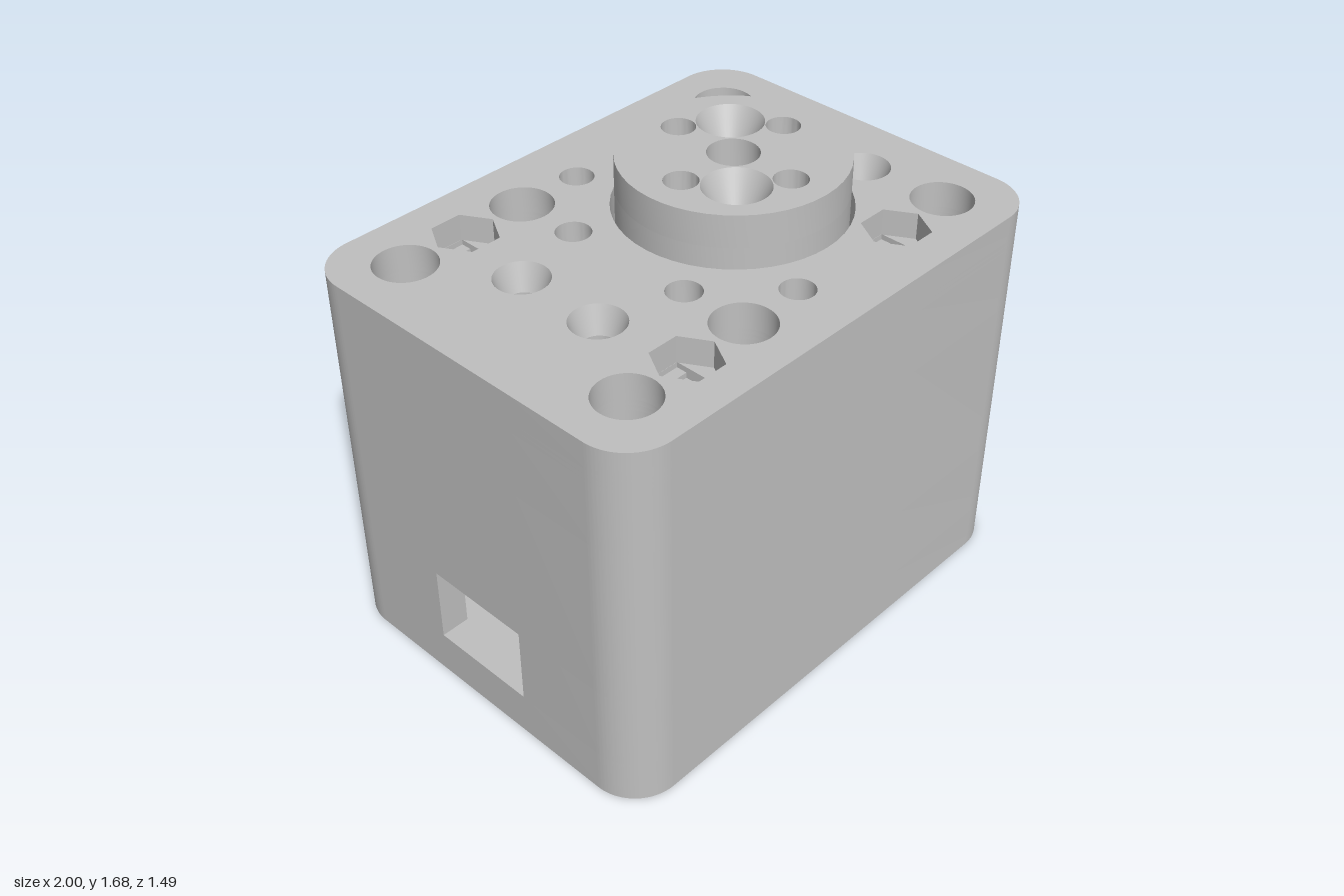
import * as THREE from 'three';
import { toCreasedNormals } from 'three/addons/utils/BufferGeometryUtils.js';

const W = 1, D = 0.745, R = 0.18;          // half width, half depth, corner radius
const DISC_X = 0.25;

// Closed paths in plan; shape y is -z
const circle = (x, z, r) => new THREE.Path().absarc(x, -z, r, 0, Math.PI * 2, true);
const polygon = pts => new THREE.Path(pts.map(([x, z]) => new THREE.Vector2(x, -z)));
const rect = (x, z, a, b) => polygon([[x - a, z - b], [x + a, z - b], [x + a, z + b], [x - a, z + b]]);
const hexagon = (x, z, r) => polygon(Array.from({ length: 6 }, (_, i) =>
  [x + r * Math.cos(i * Math.PI / 3), z + r * Math.sin(i * Math.PI / 3)]));

// Rounded plan outline, with an optional cable slot that widens behind the left wall
function outline(slot) {
  const s = new THREE.Shape();
  s.absarc(W - R, D - R, R, 0, Math.PI / 2);
  s.absarc(-W + R, D - R, R, Math.PI / 2, Math.PI);
  if (slot) {
    for (const [x, y] of [[-1, 0.21], [-0.89, 0.21], [-0.89, 0.33], [-0.4, 0.33],
      [-0.4, -0.33], [-0.89, -0.33], [-0.89, -0.21], [-1, -0.21]]) s.lineTo(x, y);
  }
  s.absarc(-W + R, -D + R, R, Math.PI, Math.PI * 1.5);
  s.absarc(W - R, -D + R, R, Math.PI * 1.5, Math.PI * 2);
  s.closePath();
  return s;
}

export function createModel() {
  const model = new THREE.Group();
  const grey = new THREE.MeshStandardMaterial({ color: 0xc0c0c0 });
  grey.name = 'grey plastic';

  const add = (name, geometry, parent) => {
    const mesh = new THREE.Mesh(geometry, grey);
    mesh.name = name;
    parent.add(mesh);
    return mesh;
  };
  // One horizontal slice between two heights
  const layer = (name, shape, holes, y0, y1, parent) => {
    shape.holes.push(...holes);
    const g = new THREE.ExtrudeGeometry(shape, { depth: y1 - y0, bevelEnabled: false, curveSegments: 24 });
    g.rotateX(-Math.PI / 2).translate(0, y0, 0);
    add(name, toCreasedNormals(g, 0.5), parent);
  };
  // Inward-facing cone
  const countersink = (x, z, rTop, rLow, yTop, yLow, parent) => {
    const g = new THREE.LatheGeometry([new THREE.Vector2(rTop, yTop), new THREE.Vector2(rLow, yLow)], 48);
    add('countersink', g, parent).position.set(x, 0, z);
  };

  const body = new THREE.Group();
  body.name = 'body';
  model.add(body);

  // Holes that run through the whole body, and the bolt positions
  const both = (xs, z, fn) => xs.flatMap(x => [fn(x, z), fn(x, -z)]);
  const BOLTS = [-0.51, 0.505], SCREWS = [-0.56, 0.745];
  const through = () => [
    ...both([-0.765, -0.257, 0.76], 0.508, (x, z) => circle(x, z, 0.112)),
    ...both([0], 0.508, (x, z) => circle(x, z, 0.062)),
  ];
  const bolts = fn => both(BOLTS, 0.508, fn);
  const bore = (x, z) => circle(x, z, 0.063);
  const counterbore = (x, z) => circle(x, z, 0.112);
  const blind = r => [
    ...both(SCREWS, 0.175, (x, z) => circle(x, z, r)),
    ...both([-0.257], 0.254, bore),
  ];
  const recess = () => circle(DISC_X, 0, 0.42);

  layer('base', outline(), [...through(), ...bolts(counterbore)], 0, 0.17, body);
  layer('slotSection', outline(true), [...through(), ...bolts(counterbore)], 0.17, 0.47, body);
  layer('middle', outline(), [...through(), ...bolts(bore)], 0.47, 1.1, body);
  layer('upper', outline(), [...through(), ...bolts(bore), ...blind(0.063)], 1.1, 1.35, body);
  // Nut pockets step from bore to square to slot to hexagon
  layer('squareStep', outline(), [...through(), ...blind(0.063), recess(),
    ...bolts((x, z) => rect(x, z, 0.063, 0.063))], 1.35, 1.37, body);
  layer('slotStep', outline(), [...through(), ...blind(0.063), recess(),
    ...bolts((x, z) => rect(x, z, 0.063, 0.103))], 1.37, 1.39, body);
  layer('topPlate', outline(), [...through(), ...blind(0.097), recess(),
    ...bolts((x, z) => hexagon(x, z, 0.12))], 1.39, 1.49, body);
  both(SCREWS, 0.175, (x, z) => countersink(x, z, 0.097, 0.063, 1.49, 1.39, body));

  // Round output disc standing in the recess
  const disc = new THREE.Group();
  disc.name = 'outputDisc';
  model.add(disc);
  const discShape = () => new THREE.Shape().absarc(DISC_X, 0, 0.403, 0, Math.PI * 2);
  const discHoles = (rCentre, rSink) => [
    circle(DISC_X, 0, rCentre),
    circle(DISC_X + 0.155, -0.155, rSink),
    circle(DISC_X - 0.155, 0.155, rSink),
    ...[0, 1, 2, 3].map(i => circle(DISC_X + 0.255 * Math.cos(i * Math.PI / 2),
      0.255 * Math.sin(i * Math.PI / 2), 0.061)),
  ];
  layer('discLower', discShape(), discHoles(0.042, 0.062), 1.35, 1.56, disc);
  layer('discUpper', discShape(), discHoles(0.092, 0.12), 1.56, 1.683, disc);
  for (const s of [1, -1]) {
    countersink(DISC_X + 0.155 * s, -0.155 * s, 0.12, 0.062, 1.683, 1.56, disc);
  }
  return model;
}
